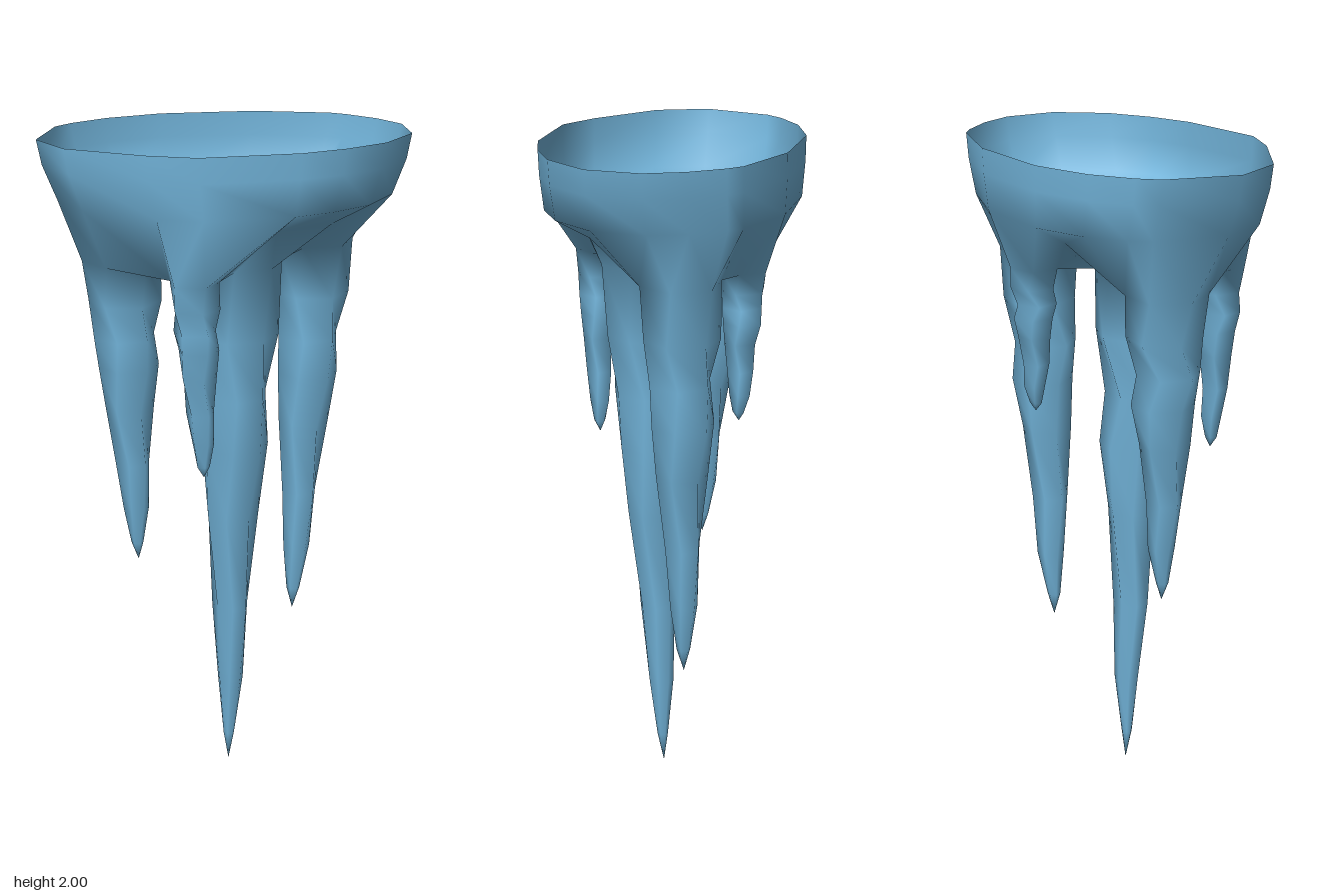
import * as THREE from 'three';

// Rim outline seen from above, as x, z
const RIM = [
  [0.525, -0.055], [0.51, 0.1], [0.4, 0.23], [0.27, 0.3], [0.14, 0.342], [-0.14, 0.358],
  [-0.27, 0.3], [-0.47, 0.16], [-0.53, 0.01], [-0.46, -0.19], [-0.41, -0.24], [-0.3, -0.31],
  [-0.13, -0.363], [0.15, -0.36], [0.37, -0.285], [0.41, -0.25], [0.48, -0.16],
];

// Rim levels: y, scale in x, scale in z
const RIM_LEVELS = [[2, 1, 1], [1.93, 0.975, 1], [1.83, 0.9, 0.985]];

// Taper shared by all icicles: fraction of the way to the tip, fraction of the top radius
const TAPER = [[0, 1], [0.13, 0.92], [0.24, 0.78], [0.34, 0.76], [0.47, 0.6], [0.66, 0.42], [0.82, 0.3], [0.94, 0.13]];

// Icicles: centre of the root, radii in x and z, the tip, and a power that makes the taper fuller
const ICICLES = [
  { name: 'mainIcicle', sides: 7, root: [0.015, 1.65, 0.075], radii: [0.133, 0.13], tip: [0.005, 0, 0.02], power: 1 },
  { name: 'leftIcicle', sides: 6, root: [0.285, 1.66, -0.1], radii: [0.116, 0.115], tip: [0.235, 0.46, -0.1], power: 0.85 },
  { name: 'rightIcicle', sides: 6, root: [-0.295, 1.64, -0.053], radii: [0.114, 0.116], tip: [-0.265, 0.7, -0.04], power: 0.9 },
  { name: 'smallFrontIcicle', sides: 5, root: [-0.138, 1.64, 0.254], radii: [0.072, 0.068], tip: [-0.11, 1.07, 0.25], power: 0.65 },
  { name: 'smallBackIcicle', sides: 5, root: [0.092, 1.66, -0.236], radii: [0.072, 0.068], tip: [0.11, 1.22, -0.23], power: 0.65 },
];

// Triangles whose circumcircle holds no other point, all turned the same way
function delaunay(points) {
  const triangles = [];
  const n = points.length;
  for (let a = 0; a < n; a++) for (let b = a + 1; b < n; b++) for (let c = b + 1; c < n; c++) {
    const ab = points[b].clone().sub(points[a]);
    const ac = points[c].clone().sub(points[a]);
    const area = ab.cross(ac);
    if (Math.abs(area) < 1e-7) continue;
    const centre = new THREE.Vector2(
      ac.y * ab.lengthSq() - ab.y * ac.lengthSq(),
      ab.x * ac.lengthSq() - ac.x * ab.lengthSq(),
    ).divideScalar(2 * area);
    const limit = centre.lengthSq() - 1e-9;
    centre.add(points[a]);
    if (points.every((p) => p.distanceToSquared(centre) >= limit)) {
      triangles.push(area > 0 ? [a, b, c] : [a, c, b]);
    }
  }
  return triangles;
}

export function createModel() {
  const ice = new THREE.MeshStandardMaterial({ color: 0x72b4da, side: THREE.DoubleSide });
  ice.name = 'iceBlue';
  const positions = [];
  const addPoint = (x, y, z) => positions.push(x, y, z) / 3 - 1;

  // Joins an upper and a lower ring with outward-facing quads
  function bridge(faces, upper, lower) {
    upper.forEach((a, i) => {
      const j = (i + 1) % upper.length;
      faces.push(a, upper[j], lower[i], upper[j], lower[j], lower[i]);
    });
  }

  // One ring of an icicle, shifted and turned a little at each level
  function icicleRing({ sides, root, radii, tip, power }, [t, size], level) {
    const [x, y, z] = root.map((v, k) => THREE.MathUtils.lerp(v, tip[k], t));
    const [rx, rz] = radii.map((r) => r * size ** power);
    const sway = 0.06 * Math.sin(level * 2.4);
    const turn = 0.2 * Math.sin(level * 2.1);
    return Array.from({ length: sides }, (_, i) => {
      const a = (i / sides) * Math.PI * 2 + turn;
      return addPoint(x + rx * (Math.cos(a) + sway), y, z + rz * (Math.sin(a) - sway));
    });
  }

  // Rim wall, open at the top
  const parts = [];
  const capFaces = [];
  const rimRings = RIM_LEVELS.map(([y, sx, sz]) => RIM.map(([x, z]) => addPoint(x * sx, y, z * sz)));
  for (let i = 1; i < rimRings.length; i++) bridge(capFaces, rimRings[i - 1], rimRings[i]);

  // Hollow icicles
  const holes = ICICLES.map((icicle) => {
    const faces = [];
    const loops = TAPER.map((step, level) => icicleRing(icicle, step, level));
    for (let i = 1; i < loops.length; i++) bridge(faces, loops[i - 1], loops[i]);
    const end = addPoint(...icicle.tip);
    const last = loops[loops.length - 1];
    last.forEach((a, i) => faces.push(a, last[(i + 1) % last.length], end));
    parts.push([icicle.name, faces]);
    return loops[0];
  });

  // Points of the vaulted underside, kept clear of the icicle openings
  const vault = [];
  for (const s of [0.68, 0.4, 0.12]) {
    RIM.forEach(([x, z], i) => {
      const clear = ICICLES.every(({ root, radii }) => Math.hypot(x * s - root[0], z * s - root[2]) > radii[0] * 1.3);
      if (i % 2 === 0 && clear) vault.push(addPoint(x * s, 1.72 + 0.1 * s * s, z * s));
    });
  }

  // Underside of the cap, stretched between the rim and the icicle openings
  const ids = [...rimRings[rimRings.length - 1], ...holes.flat(), ...vault];
  const points = ids.map((i) => new THREE.Vector2(positions[3 * i], positions[3 * i + 2]));
  for (const triangle of delaunay(points)) {
    const corners = triangle.map((i) => ids[i]);
    if (!holes.some((hole) => corners.every((i) => hole.includes(i)))) capFaces.push(...corners);
  }
  parts.push(['iceCap', capFaces]);

  // Smooth normals run across all parts, which share their points
  const whole = new THREE.BufferGeometry();
  whole.setAttribute('position', new THREE.Float32BufferAttribute(positions, 3));
  whole.setIndex(parts.flatMap(([, faces]) => faces));
  whole.computeVertexNormals();

  const model = new THREE.Group();
  model.name = 'icicleCluster';
  for (const [name, faces] of parts) {
    const geometry = new THREE.BufferGeometry();
    geometry.setAttribute('position', whole.getAttribute('position'));
    geometry.setAttribute('normal', whole.getAttribute('normal'));
    geometry.setIndex(faces);
    const mesh = new THREE.Mesh(geometry, ice);
    mesh.name = name;
    model.add(mesh);
  }
  return model;
}
